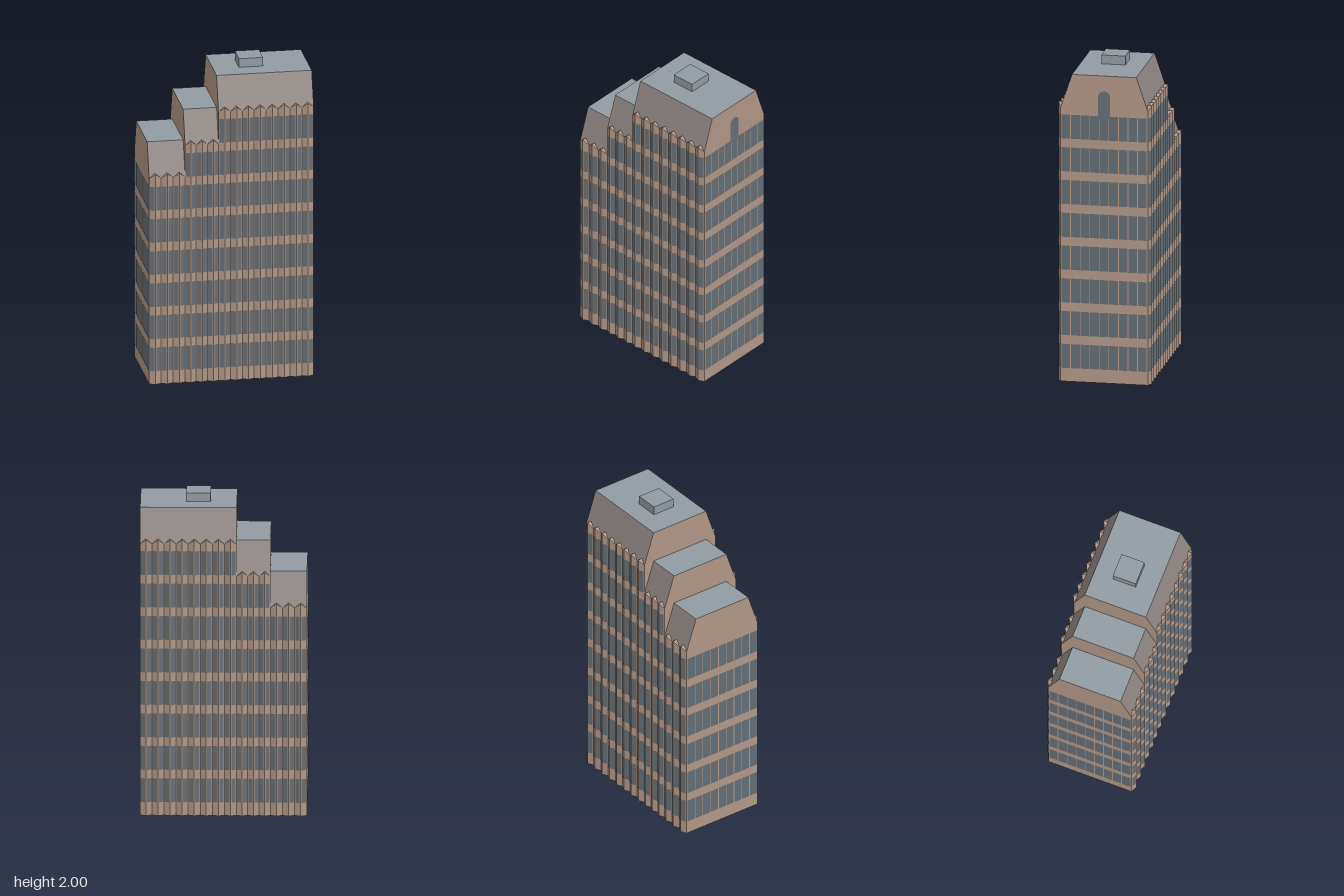
import * as THREE from 'three';

const material = (name, color, side = THREE.DoubleSide) => {
  const m = new THREE.MeshStandardMaterial({ color, side });
  m.name = name;
  return m;
};

// Collects flat polygons (corner loops) into one hard-edged mesh
class Faces {
  constructor() { this.p = []; }
  add(corners, flip = false) {
    const c = flip ? [...corners].reverse() : corners;
    for (let i = 1; i < c.length - 1; i++) this.p.push(...c[0], ...c[i], ...c[i + 1]);
  }
  mesh(name, mat) {
    const g = new THREE.BufferGeometry();
    g.setAttribute('position', new THREE.Float32BufferAttribute(this.p, 3));
    g.computeVertexNormals();
    const m = new THREE.Mesh(g, mat);
    m.name = name;
    return m;
  }
}

const WALL_Z = 0.272, PLEAT_Z = 0.29, TOP_Z = 0.2, GABLET = 0.03;
const FLOOR = 0.2074, SILL = 0.085, GLASS_H = 0.152, LIFT = 0.002;

const SECTIONS = [
  { name: 'lowBlock', x0: -0.51, x1: -0.287, eave: 1.326, top: 1.54, floors: 6, pleats: 3 },
  { name: 'middleBlock', x0: -0.287, x1: -0.08, eave: 1.527, top: 1.738, floors: 7, pleats: 3 },
  { name: 'tallBlock', x0: -0.08, x1: 0.51, eave: 1.732, top: 1.944, floors: 8, pleats: 8 },
];

// Folded facade with a small gable over each fold; s = 1 front, -1 back
function pleatedFacade(sec, s, wall, glass) {
  const flip = s < 0;
  const half = (sec.x1 - sec.x0) / sec.pleats / 2;
  const peakY = sec.eave + GABLET;
  const innerZ = WALL_Z - (WALL_Z - TOP_Z) * GABLET / (sec.top - sec.eave);
  for (let i = 0; i < sec.pleats * 2; i++) {
    const rising = i % 2 === 0;
    const xa = sec.x0 + i * half, xb = xa + half;
    const za = rising ? WALL_Z : PLEAT_Z, zb = rising ? PLEAT_Z : WALL_Z;
    const ya = rising ? sec.eave : peakY, yb = rising ? peakY : sec.eave;
    wall.add([[xa, 0, za * s], [xb, 0, zb * s], [xb, yb, zb * s], [xa, ya, za * s]], flip);

    // Gablet slope back to the roof
    const xp = rising ? xb : xa, xv = rising ? xa : xb;
    wall.add([[xv, sec.eave, WALL_Z * s], [xp, peakY, PLEAT_Z * s], [xp, peakY, innerZ * s]], flip === rising);

    // Glass on every floor of this fold face
    const n = new THREE.Vector2(za - zb, half).normalize().multiplyScalar(LIFT);
    const at = (t, y) => [xa + half * t + n.x, y, (za + (zb - za) * t + n.y) * s];
    for (let f = 0; f < sec.floors; f++) {
      const y = SILL + f * FLOOR, h = y + GLASS_H;
      glass.add([at(0.14, y), at(0.86, y), at(0.86, h), at(0.14, h)], flip);
    }
  }
}

// Flat end wall; s = 1 faces +x, -1 faces -x
function endWall(x, s, low, high, wall) {
  const w = WALL_Z;
  wall.add([[x, low, w], [x, low, -w], [x, high, -w], [x, high, w]], s < 0);
}

function gableEnd(x, s, sec, wall) {
  wall.add([[x, sec.eave, WALL_Z], [x, sec.eave, -WALL_Z], [x, sec.top, -TOP_Z], [x, sec.top, TOP_Z]], s < 0);
}

// Nine panes per floor between narrow mullions
function endWindows(x, s, floors, glass) {
  const pitch = 0.535 / 9, gap = 0.0025, px = x + s * LIFT;
  for (let f = 0; f < floors; f++) {
    const y = SILL + f * FLOOR, h = y + GLASS_H;
    for (let i = 0; i < 9; i++) {
      const a = 0.2675 - i * pitch - gap, b = a - pitch + 2 * gap;
      glass.add([[px, y, a], [px, y, b], [px, h, b], [px, h, a]], s < 0);
    }
  }
}

export function createModel() {
  const stone = material('tan stone', 0xb09686);
  const glassMat = material('blue grey glass', 0x646d75, THREE.FrontSide);
  const slopeMat = material('brown grey roof slope', 0x8f8683);
  const slate = material('slate roof', 0x919ba2);

  const model = new THREE.Group();
  model.name = 'steppedTower';

  SECTIONS.forEach((sec, i) => {
    const group = new THREE.Group();
    group.name = sec.name;
    const wall = new Faces(), glass = new Faces(), slope = new Faces(), cap = new Faces();
    const { x0, x1, eave, top } = sec;

    for (const s of [1, -1]) {
      pleatedFacade(sec, s, wall, glass);
      slope.add([[x0, eave, WALL_Z * s], [x1, eave, WALL_Z * s], [x1, top, TOP_Z * s], [x0, top, TOP_Z * s]], s < 0);
    }
    cap.add([[x0, top, TOP_Z], [x1, top, TOP_Z], [x1, top, -TOP_Z], [x0, top, -TOP_Z]]);

    // Right end of every block, left end down to the neighbour below
    endWall(x1, 1, 0, eave, wall);
    endWindows(x1, 1, sec.floors, glass);
    endWall(x0, -1, i === 0 ? 0 : SECTIONS[i - 1].eave, eave, wall);
    if (i === 0) endWindows(x0, -1, sec.floors, glass);
    gableEnd(x0, -1, sec, wall);
    if (i === 2) gableEnd(x1, 1, sec, wall);

    group.add(
      wall.mesh('walls', stone),
      glass.mesh('windows', glassMat),
      slope.mesh('roofSlopes', slopeMat),
      cap.mesh('flatRoof', slate),
    );
    model.add(group);
  });

  // Arched window in the tall gable
  const arch = new THREE.Shape();
  arch.moveTo(-0.0375, 1.675);
  arch.lineTo(0.0375, 1.675);
  arch.lineTo(0.0375, 1.81);
  arch.absarc(0, 1.81, 0.0375, 0, Math.PI, false);
  arch.closePath();
  const archWindow = new THREE.Mesh(new THREE.ShapeGeometry(arch, 10), glassMat);
  archWindow.name = 'archedWindow';
  archWindow.rotation.y = Math.PI / 2;
  archWindow.position.x = 0.51 + LIFT * 1.5;
  model.add(archWindow);

  // Rooftop plant room
  const plant = new THREE.Mesh(new THREE.BoxGeometry(0.15, 0.056, 0.15), slate);
  plant.name = 'plantRoom';
  plant.position.set(0.155, 1.972, -0.003);
  model.add(plant);

  return model;
}
